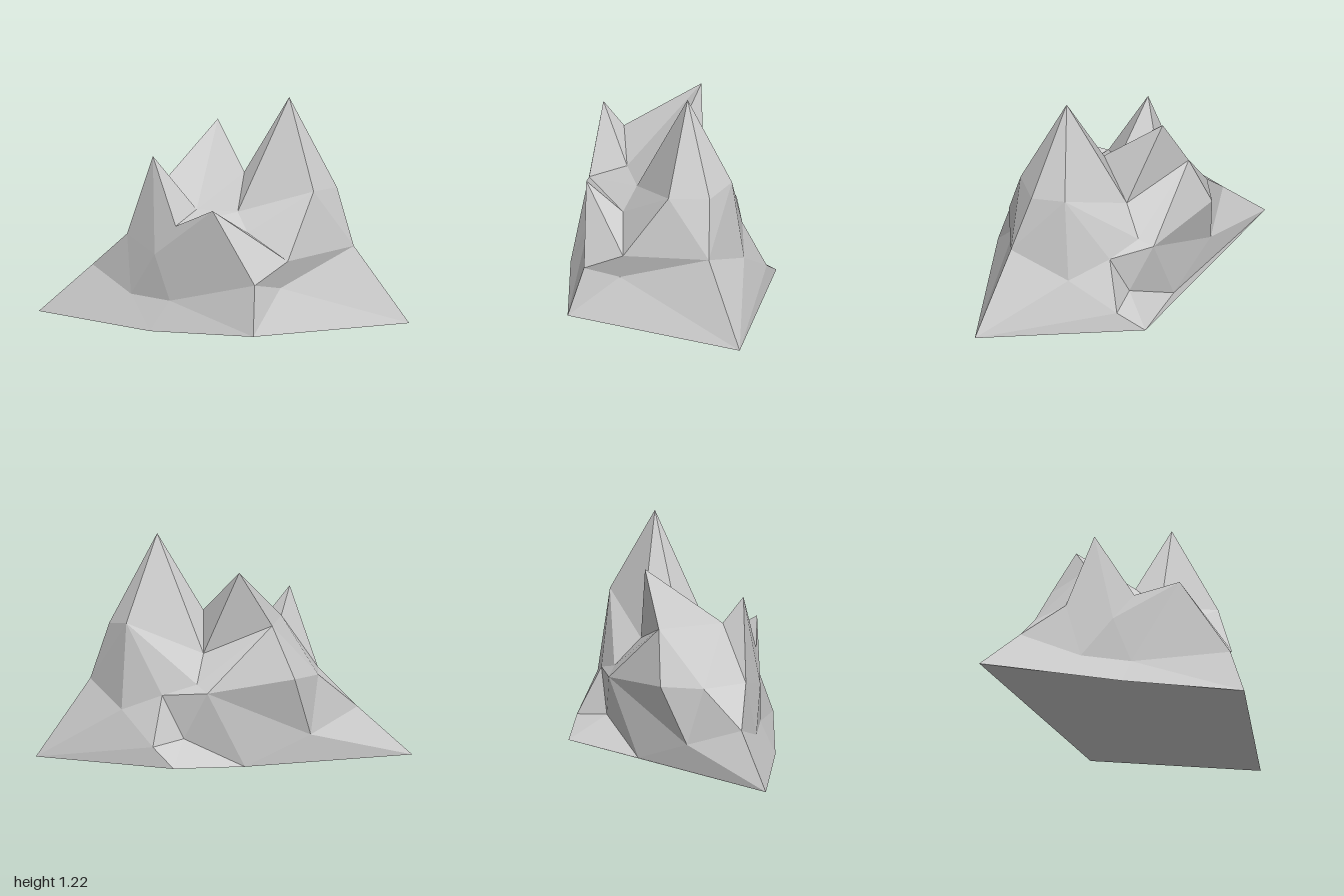
import * as THREE from 'three';

// Key points of the rock: named summits, shoulders, hollows and foot corners
const P = {
  // foot outline
  footRight: [-1, 0.03, -0.07], footFrontRight: [-0.33, 0, 0.32], footFront: [0.28, 0.03, 0.61],
  footLeft: [1, 0.02, -0.07], footBack: [0.27, 0.04, -0.61], footBackRight: [-0.11, 0.015, -0.385],
  // slopes
  spur: [-0.71, 0.29, -0.07], dentA: [-0.465, 0.17, 0.14], dentB: [-0.23, 0.16, 0.28],
  prow: [0.27, 0.29, 0.51], notch: [0.38, 0.255, 0.35], ledge: [0.42, 0.4, 0.35],
  shoulder: [0.71, 0.435, -0.02], backLeft: [0.545, 0.31, -0.3], heel: [0.38, 0.14, -0.505],
  under: [0.215, 0.17, -0.41], knob: [0.33, 0.4, -0.385], backRib: [0.09, 0.42, -0.46],
  backRight: [-0.375, 0.485, -0.385], hollow: [-0.46, 0.17, -0.27],
  flankBack: [-0.5, 0.48, -0.19], flankFront: [-0.5, 0.48, 0.06], flankLow: [-0.32, 0.4, 0.235],
  // saddles between the summits
  saddleA: [-0.2, 0.56, 0.27], saddleB: [-0.12, 0.625, 0.085], saddleC: [-0.305, 0.765, 0.02],
  saddleD: [-0.255, 0.765, -0.335], pass: [0.11, 0.81, -0.07], valley: [0.11, 0.625, 0.13],
  gully: [0.11, 0.605, -0.26], gullyLow: [0.145, 0.46, -0.4], basin: [0.185, 0.53, 0.245],
  collarFront: [0.52, 0.745, 0.13], collarLeft: [0.61, 0.74, -0.07], collarBack: [0.52, 0.765, -0.24],
  // summits
  topLeft: [0.355, 1.22, -0.055], topBack: [-0.08, 1.05, -0.33],
  topRight: [-0.35, 0.91, 0.12], topFront: [0.02, 0.665, 0.385],
};

// Each part is a set of facet fans: the hub first, then its rim counter-clockwise from outside
const PARTS = {
  leftPeak: ['topLeft valley collarFront collarLeft collarBack gully pass valley'],
  backPeak: ['topBack saddleC saddleB pass gully saddleD saddleC'],
  rightPeak: ['topRight flankFront flankLow saddleA saddleB saddleC flankFront'],
  frontPeak: ['topFront flankLow dentB prow ledge basin saddleA flankLow'],
  centralValley: ['valley pass saddleB saddleA basin collarFront', 'basin ledge collarFront'],
  leftShoulder: [
    'shoulder footLeft backLeft collarBack collarLeft collarFront ledge notch footLeft',
    'notch ledge prow footFront footLeft',
  ],
  frontRightSlope: [
    'dentA footRight footFrontRight dentB flankLow flankFront spur footRight',
    'dentB footFrontRight footFront prow',
  ],
  backRightSlope: [
    'hollow footBackRight footRight spur flankBack backRight backRib footBackRight',
    'flankBack spur flankFront saddleC saddleD backRight',
    'saddleD gully gullyLow backRib backRight',
  ],
  backLeftSlope: [
    'knob collarBack backLeft heel under backRib gullyLow collarBack',
    'gullyLow gully collarBack',
    'heel backLeft footLeft footBack under',
    'under footBack footBackRight backRib',
  ],
  underside: ['footRight footBackRight footBack footLeft footFront footFrontRight'],
};

function fanGeometry(fans) {
  const positions = [];
  for (const fan of fans) {
    const [hub, ...rim] = fan.split(' ').map((name) => P[name]);
    for (let i = 0; i < rim.length - 1; i++) positions.push(...rim[i], ...rim[i + 1], ...hub);
  }
  const geometry = new THREE.BufferGeometry();
  geometry.setAttribute('position', new THREE.Float32BufferAttribute(positions, 3));
  geometry.computeVertexNormals();
  return geometry;
}

export function createModel() {
  const model = new THREE.Group();
  model.name = 'rockyMountain';
  const stone = new THREE.MeshStandardMaterial({ color: 0xcccccc, flatShading: true });
  for (const [name, fans] of Object.entries(PARTS)) {
    const mesh = new THREE.Mesh(fanGeometry(fans), stone);
    mesh.name = name;
    model.add(mesh);
  }
  return model;
}
